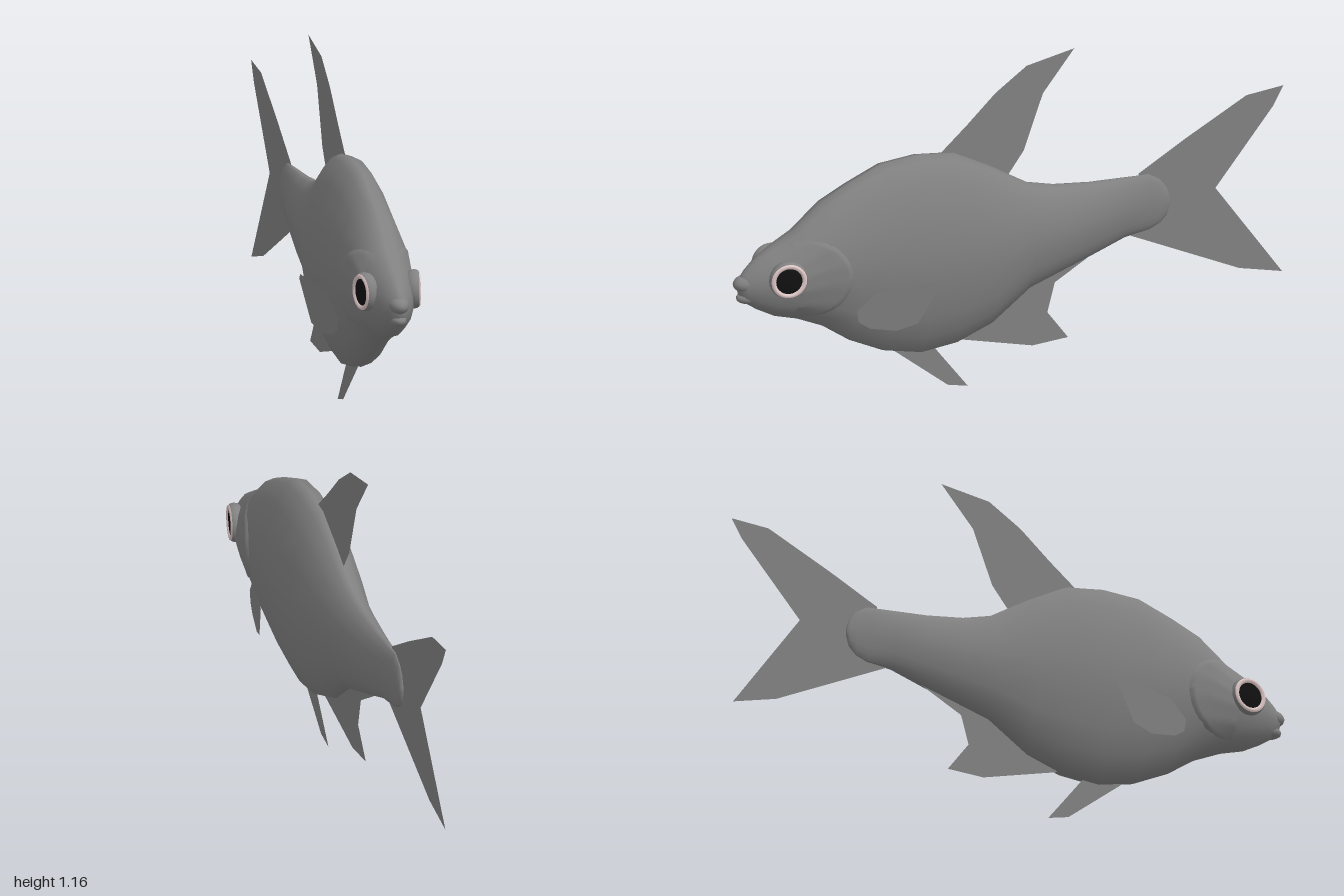
import * as THREE from 'three';

const grey = new THREE.MeshStandardMaterial({ color: 0x818181 });
const finGrey = new THREE.MeshStandardMaterial({ color: 0x818181, side: THREE.DoubleSide });
const pink = new THREE.MeshStandardMaterial({ color: 0xe0c8c8 });
const black = new THREE.MeshStandardMaterial({ color: 0x111111 });

// Body stations from nose to tail: z, top y, bottom y, half width
const stations = [
  [0.98, 0.527, 0.468, 0.018], [0.96, 0.553, 0.438, 0.034], [0.92, 0.59, 0.41, 0.056],
  [0.86, 0.628, 0.378, 0.08], [0.78, 0.67, 0.356, 0.1], [0.68, 0.757, 0.31, 0.11],
  [0.58, 0.808, 0.24, 0.116], [0.46, 0.86, 0.183, 0.122], [0.33, 0.872, 0.155, 0.126],
  [0.2, 0.858, 0.17, 0.122], [0.07, 0.79, 0.22, 0.105], [-0.07, 0.705, 0.325, 0.08],
  [-0.17, 0.68, 0.36, 0.07], [-0.3, 0.667, 0.405, 0.055], [-0.42, 0.664, 0.448, 0.037],
  [-0.51, 0.662, 0.46, 0.022], [-0.55, 0.638, 0.478, 0.017], [-0.575, 0.605, 0.505, 0.014],
  [-0.585, 0.57, 0.54, 0.009],
];
// Half cross-section from back to belly, in units of half width and half height
const half = [[0, 1], [0.29, 0.965], [0.62, 0.75], [0.88, 0.46], [1, 0.13],
  [0.99, -0.17], [0.83, -0.55], [0.57, -0.78], [0.29, -0.965], [0, -1]];
const ring = [...half, ...half.slice(1, -1).reverse().map(([x, y]) => [-x, y])];

const lerp = THREE.MathUtils.lerp;

// Half width of the body at a point of its side
function sideX(y, z) {
  let i = 0;
  while (i < stations.length - 2 && stations[i + 1][0] > z) i++;
  const a = stations[i], b = stations[i + 1];
  const k = (z - a[0]) / (b[0] - a[0]);
  const top = lerp(a[1], b[1], k), low = lerp(a[2], b[2], k), w = lerp(a[3], b[3], k);
  const t = THREE.MathUtils.clamp((2 * y - top - low) / (top - low), -1, 1);
  let j = 0;
  while (j < half.length - 2 && half[j + 1][1] > t) j++;
  return w * lerp(half[j][0], half[j + 1][0], (t - half[j][1]) / (half[j + 1][1] - half[j][1]));
}

function mesh(name, geometry, material = grey) {
  const m = new THREE.Mesh(geometry, material);
  m.name = name;
  return m;
}

// Loft through the stations, closed at both ends
function bodyGeometry() {
  const n = ring.length, pos = [], index = [];
  for (const [z, top, low, w] of stations)
    for (const [x, y] of ring) pos.push(x * w, (top + low) / 2 + y * (top - low) / 2, z);
  const last = stations.length - 1;
  for (let s = 0; s < last; s++)
    for (let i = 0; i < n; i++) {
      const a = s * n + i, b = s * n + (i + 1) % n;
      index.push(a, b, a + n, b, b + n, a + n);
    }
  for (const s of [0, last]) {
    const c = pos.length / 3, [z, top, low] = stations[s];
    pos.push(0, (top + low) / 2, z);
    for (let i = 0; i < n; i++) {
      const a = s * n + i, b = s * n + (i + 1) % n;
      if (s === 0) index.push(c, b, a); else index.push(c, a, b);
    }
  }
  const g = new THREE.BufferGeometry();
  g.setAttribute('position', new THREE.Float32BufferAttribute(pos, 3));
  g.setIndex(index);
  g.computeVertexNormals();
  return g;
}

// Flat fin from (z, y) corners; xAt gives its sideways offset
function fin(name, points, xAt = () => 0) {
  const g = new THREE.ShapeGeometry(new THREE.Shape(points.map(([z, y]) => new THREE.Vector2(-z, y))));
  const p = g.attributes.position;
  for (let i = 0; i < p.count; i++) {
    const z = -p.getX(i), y = p.getY(i);
    p.setXYZ(i, xAt(z, y), y, z);
  }
  g.computeVertexNormals();
  return mesh(name, g, finGrey);
}

// Rounded plate on the side of the head: raised at the rear, sinking into the body in front
function gillCover() {
  const g = new THREE.RingGeometry(0, 1, 32, 12);
  const p = g.attributes.position;
  for (let i = 0; i < p.count; i++) {
    const u = p.getX(i), v = p.getY(i), rim = Math.hypot(u, v) > 0.99;
    const y = 0.515 + v * 0.148, z = 0.755 - u * 0.148;
    p.setXYZ(i, sideX(y, z) + (rim ? -0.004 : 0.002 + 0.007 * u), y, z);
  }
  g.computeVertexNormals();
  return mesh('gillCover', g);
}

function turned(name, points, material) {
  const g = new THREE.LatheGeometry(points.map(([r, h]) => new THREE.Vector2(r, h)), 28);
  g.rotateZ(-Math.PI / 2);
  return mesh(name, g, material);
}

// Socket, iris ring and pupil, facing outward and a little forward
function eye() {
  const g = new THREE.Group();
  g.name = 'eye';
  g.add(
    turned('eyeSocket', [[0.05, -0.03], [0.062, -0.018], [0.066, -0.004], [0.065, 0.007], [0.061, 0.014]], grey),
    turned('iris', [[0.062, 0.012], [0.058, 0.018], [0.05, 0.019], [0.044, 0.012]], pink),
    turned('pupil', [[0.046, 0.013], [0.03, 0.015], [0, 0.016]], black),
  );
  g.position.set(0.086, 0.533, 0.835);
  g.rotation.y = -0.2;
  return g;
}

function lip(name, y, z, sx, sy, sz) {
  const g = new THREE.SphereGeometry(1, 20, 14);
  g.scale(sx, sy, sz);
  g.translate(0, y, z);
  return mesh(name, g);
}

export function createModel() {
  const model = new THREE.Group();
  model.name = 'fish';
  model.add(mesh('body', bodyGeometry()));
  model.add(lip('upperLip', 0.508, 0.945, 0.036, 0.032, 0.055));
  model.add(lip('lowerLip', 0.457, 0.937, 0.03, 0.024, 0.052));

  // Fins on the centre line
  model.add(fin('dorsalFin', [[0.25, 0.86], [0.15, 0.95], [0.046, 1.05], [-0.067, 1.13], [-0.24, 1.165],
    [-0.126, 1.02], [-0.056, 0.823], [0, 0.745], [0.06, 0.7], [0.2, 0.78]]));
  model.add(fin('tailFin', [[-0.474, 0.67], [-0.64, 0.767], [-0.866, 0.89], [-1, 0.904], [-0.962, 0.834],
    [-0.753, 0.571], [-0.995, 0.228], [-0.839, 0.265], [-0.43, 0.455], [-0.46, 0.56]]));
  model.add(fin('analFin', [[0.18, 0.175], [-0.088, 0.108], [-0.217, 0.117], [-0.142, 0.22], [-0.169, 0.324],
    [-0.314, 0.41], [-0.437, 0.458], [-0.2, 0.42], [0, 0.32]]));
  model.add(fin('pelvicFin', [[0.415, 0.172], [0.22, 0.016], [0.147, 0], [0.265, 0.155], [0.3, 0.2]]));

  // Paired parts, mirrored to both sides
  for (const [side, s] of [['left', 1], ['right', -1]]) {
    const g = new THREE.Group();
    g.name = side + 'Side';
    g.add(eye(), gillCover(), fin('pectoralFin', [[0.598, 0.394], [0.534, 0.453], [0.42, 0.472], [0.33, 0.483],
      [0.32, 0.467], [0.394, 0.33], [0.464, 0.308], [0.555, 0.324], [0.592, 0.35]],
    (z, y) => 0.178 - (z - 0.325) * 0.21 + (y - 0.48) * 0.05));
    g.scale.x = s;
    model.add(g);
  }
  return model;
}
